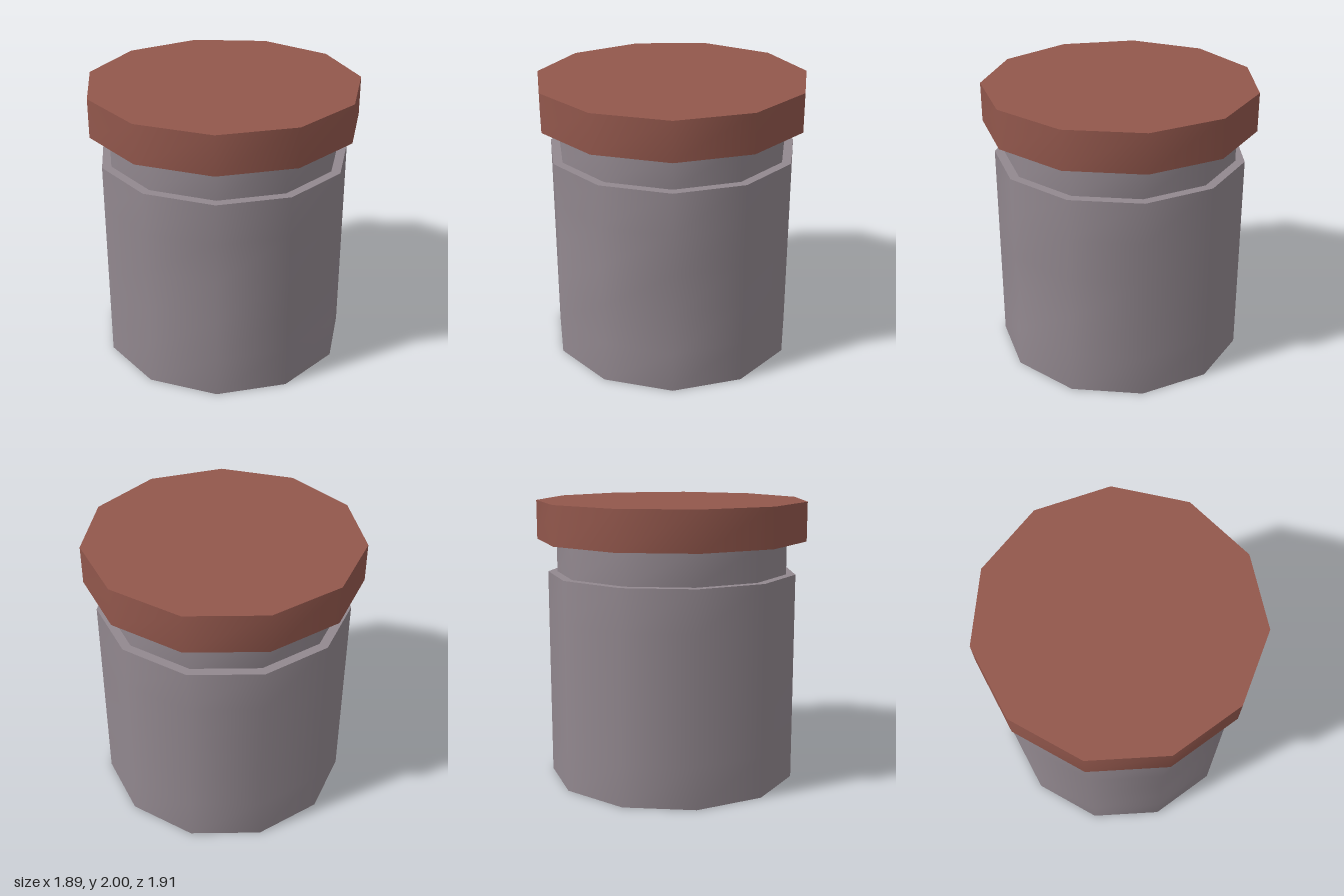
import * as THREE from 'three';
import { toCreasedNormals } from 'three/addons/utils/BufferGeometryUtils.js';

const SIDES = 11;

export function createModel() {
  const stone = new THREE.MeshStandardMaterial({ color: 0x92888f });
  stone.name = 'warm grey';
  const clay = new THREE.MeshStandardMaterial({ color: 0x92574c });
  clay.name = 'red brown';
  const base = new THREE.MeshStandardMaterial({ color: 0x878383 });
  base.name = 'underside grey';

  const jar = new THREE.Group();
  jar.name = 'lidded jar';

  // Eleven-sided drum with one corner on +x; dents are [corner, ring height, depth]
  function drum(name, radius, y0, y1, material, rings = 1, dents = []) {
    const h = y1 - y0;
    let geo = new THREE.CylinderGeometry(radius, radius, h, SIDES, rings, false, Math.PI / 2);
    geo.translate(0, y0 + h / 2, 0);
    const p = geo.attributes.position;
    for (const [corner, height, depth] of dents) {
      const a = (corner / SIDES) * Math.PI * 2;
      const x = Math.cos(a) * radius, z = Math.sin(a) * radius;
      for (let i = 0; i < p.count; i++) {
        if (Math.hypot(p.getX(i) - x, p.getZ(i) - z) < 0.05 && Math.abs(p.getY(i) - height) < 0.05) {
          const k = 1 - depth / radius;
          p.setX(i, p.getX(i) * k);
          p.setZ(i, p.getZ(i) * k);
        }
      }
    }
    geo = toCreasedNormals(geo, 0.8);
    // group order: side, top, underside
    const mesh = new THREE.Mesh(geo, [material, material, base]);
    mesh.name = name;
    mesh.position.x = -0.02;
    jar.add(mesh);
  }

  // Body with slightly worn corners, rings every 0.298
  const step = 1.49 / 5;
  drum('body', 0.893, 0, 1.49, stone, 5, [
    [0, step * 2, 0.025],
    [2, step * 3, 0.02],
    [2, step * 4, 0.015],
  ]);
  drum('neck', 0.827, 1.49, 1.725, stone);
  drum('lid', 0.965, 1.725, 2, clay);
  return jar;
}
